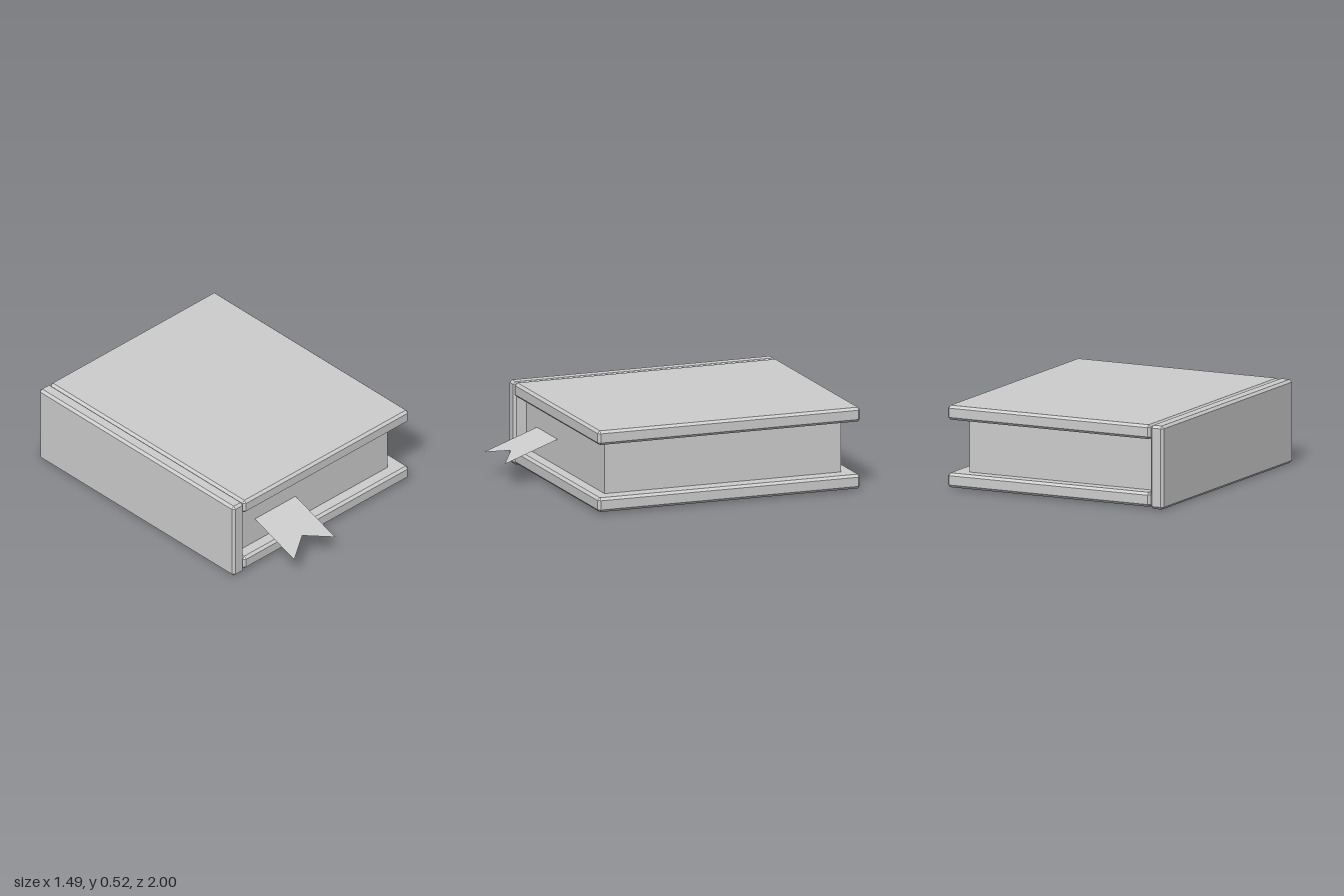
import * as THREE from 'three';
import { ConvexGeometry } from 'three/addons/geometries/ConvexGeometry.js';

// Box between two corners with every edge cut at 45 degrees by c
function chamferBox([x0, y0, z0], [x1, y1, z1], c) {
  const half = [(x1 - x0) / 2, (y1 - y0) / 2, (z1 - z0) / 2];
  const points = [];
  for (const sx of [-1, 1]) for (const sy of [-1, 1]) for (const sz of [-1, 1]) {
    for (let axis = 0; axis < 3; axis++) {
      const p = half.map((h, i) => (i === axis ? h : h - c));
      points.push(new THREE.Vector3(sx * p[0], sy * p[1], sz * p[2]));
    }
  }
  return new ConvexGeometry(points).translate((x0 + x1) / 2, (y0 + y1) / 2, (z0 + z1) / 2);
}

export function createModel() {
  const book = new THREE.Group();
  book.name = 'book';

  const grey = new THREE.MeshStandardMaterial({ color: 0xcccccc, side: THREE.DoubleSide });
  grey.name = 'light grey';

  const add = (name, geometry) => {
    const mesh = new THREE.Mesh(geometry, grey);
    mesh.name = name;
    book.add(mesh);
  };

  const back = -1, front = 0.733, chamfer = 0.016;

  // Hard cover: two boards and the spine
  add('bottomCover', chamferBox([-0.657, 0.01, back], [0.745, 0.1, front], chamfer));
  add('topCover', chamferBox([-0.657, 0.432, back], [0.745, 0.522, front], chamfer));
  add('spine', chamferBox([-0.747, 0, back], [-0.657, 0.522, front], chamfer));

  // Page block, set in from the cover edges
  const pages = new THREE.BoxGeometry(1.297, 0.34, 1.56);
  pages.translate(-0.0115, 0.266, -0.13);
  add('pages', pages);

  // Bookmark ribbon with a notched tail, sloping down out of the pages
  const tail = new THREE.Shape([
    [-0.488, 0.65], [-0.488, 1], [-0.315, 0.89], [-0.142, 1], [-0.142, 0.65],
  ].map(([x, z]) => new THREE.Vector2(x, -z)));
  const ribbon = new THREE.ShapeGeometry(tail).rotateX(-Math.PI / 2);
  const pos = ribbon.attributes.position;
  for (let i = 0; i < pos.count; i++) pos.setY(i, 0.27 - (pos.getZ(i) - 0.65) * 0.36);
  ribbon.computeVertexNormals();
  add('bookmarkRibbon', ribbon);

  return book;
}
